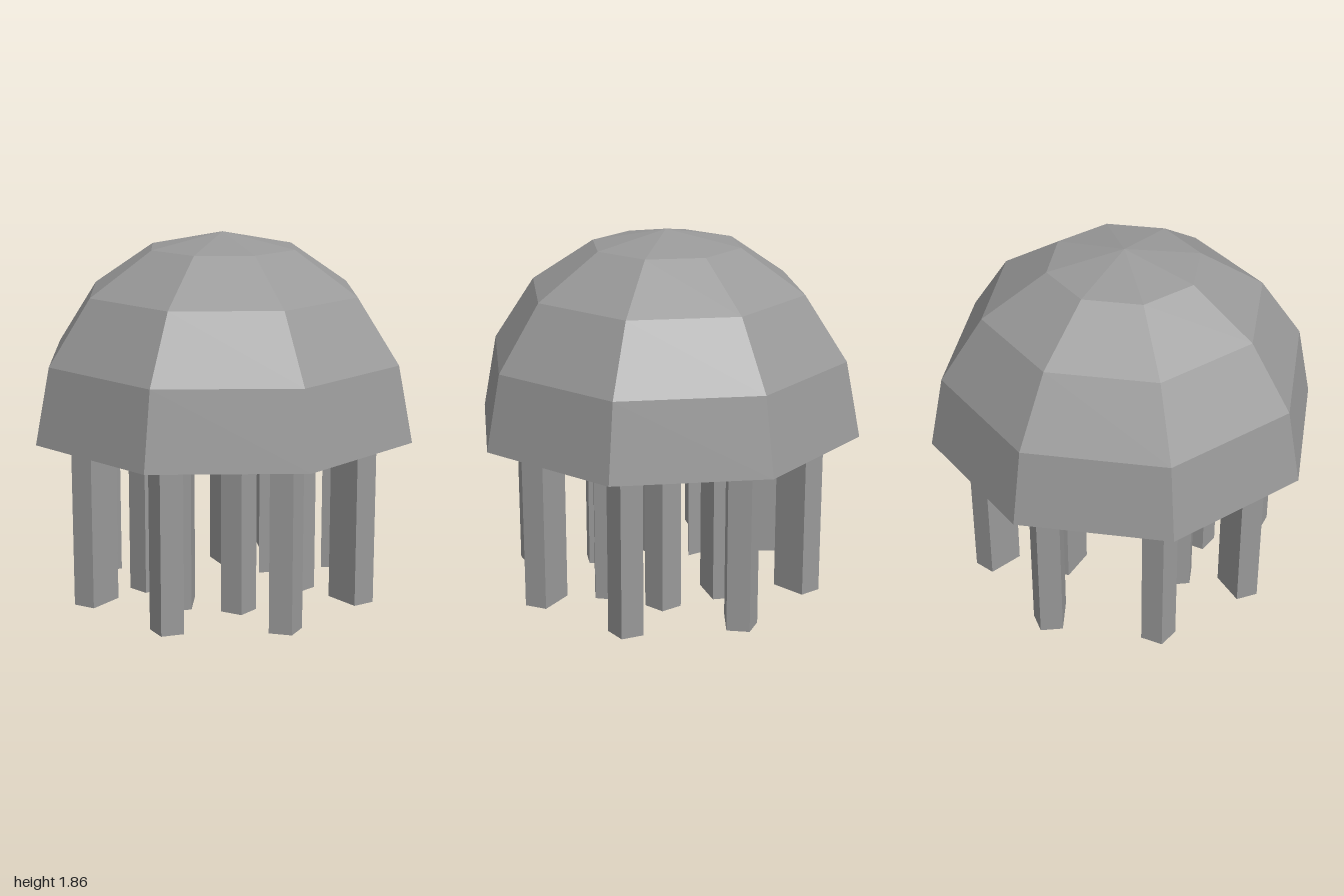
import * as THREE from 'three';

const BELL_Y = 0.855;

export function createModel() {
  const model = new THREE.Group();
  const grey = new THREE.MeshStandardMaterial({ color: 0x999999, flatShading: true });
  grey.name = 'grey';

  // Low-poly bell: an eight-sided half sphere with a flat underside
  const bell = new THREE.Group();
  bell.name = 'bell';
  bell.position.y = BELL_Y;
  const dome = new THREE.Mesh(new THREE.SphereGeometry(1, 8, 4, 0, Math.PI * 2, 0, Math.PI / 2), grey);
  dome.name = 'dome';
  const underside = new THREE.Mesh(new THREE.CircleGeometry(1, 8).rotateX(Math.PI / 2), grey);
  underside.name = 'underside';
  bell.add(dome, underside);
  model.add(bell);

  // Kite-shaped tentacle section, short point facing outward (+z after the turn)
  const kite = new THREE.Shape([[0, -0.12], [0.09, -0.05], [0, 0.115], [-0.09, -0.05]]
    .map(([x, y]) => new THREE.Vector2(x, y)));
  const tentacleGeo = new THREE.ExtrudeGeometry(kite, { depth: BELL_Y, bevelEnabled: false })
    .rotateX(-Math.PI / 2);

  function addTentacle(parent, name, degrees, radius) {
    const a = THREE.MathUtils.degToRad(degrees);
    const mesh = new THREE.Mesh(tentacleGeo, grey);
    mesh.name = name;
    mesh.position.set(Math.sin(a) * radius, 0, Math.cos(a) * radius);
    mesh.rotation.y = a;
    parent.add(mesh);
  }

  // Outer ring of eight
  const outer = new THREE.Group();
  outer.name = 'outerTentacles';
  for (let i = 0; i < 8; i++) addTentacle(outer, 'outerTentacle', i * 45, 0.7);

  // Looser inner ring, open at the back
  const inner = new THREE.Group();
  inner.name = 'innerTentacles';
  [[57, 0.365], [103, 0.36], [153, 0.355], [256.5, 0.37], [303, 0.375], [347, 0.37]]
    .forEach(([deg, r]) => addTentacle(inner, 'innerTentacle', deg, r));

  model.add(outer, inner);
  return model;
}
